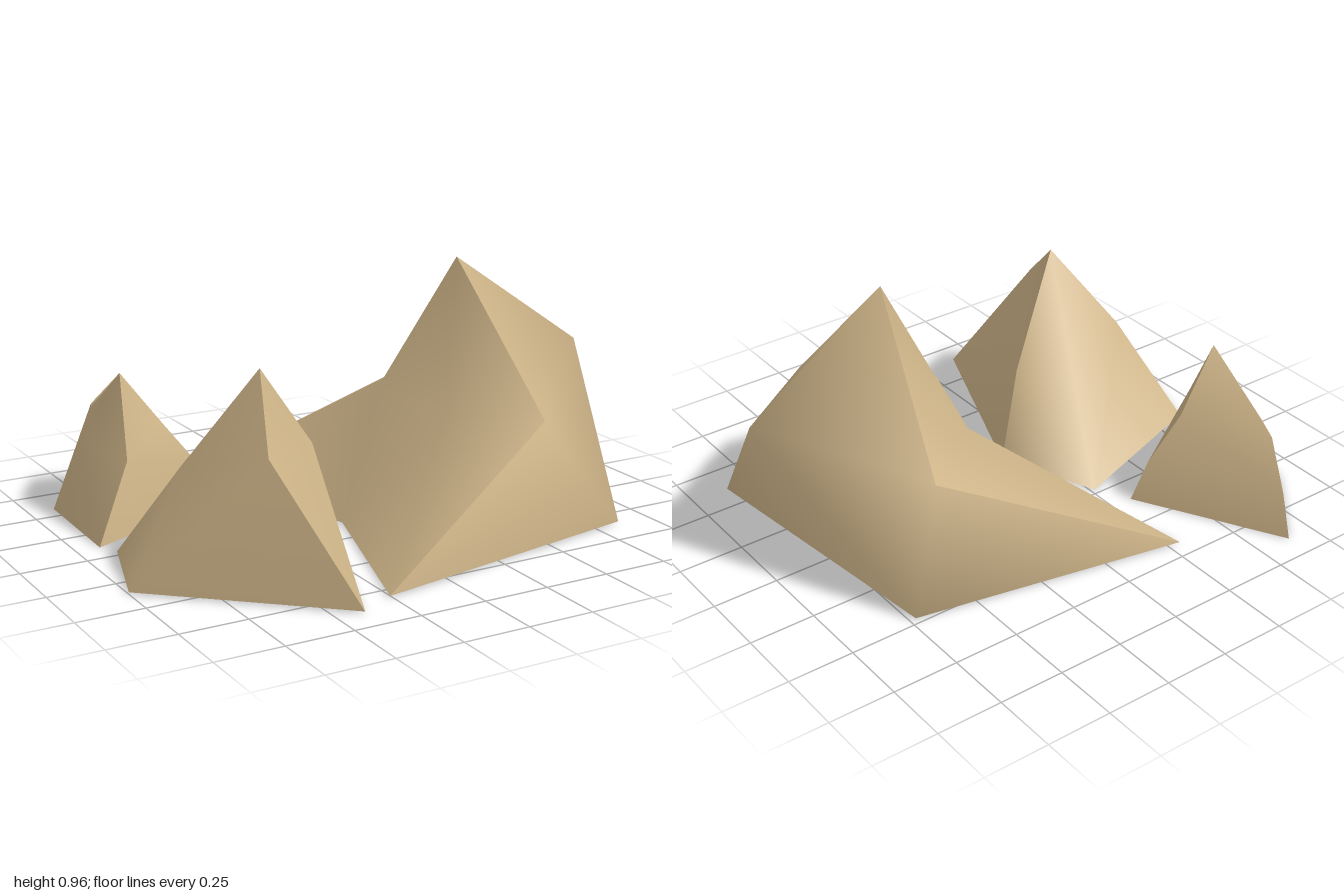
import * as THREE from 'three';

// The rocks are hollow shells, open underneath
const stone = new THREE.MeshStandardMaterial({ color: 0xceb488, side: THREE.DoubleSide });
stone.name = 'sandstone';

// A rock is a set of named corners plus facets. Each facet is a list of
// triangles shaded smoothly together; borders between facets stay sharp.
// Triangles are turned to face away from the rock's core.
function makeRock(name, core, corners, facets) {
  const group = new THREE.Group();
  group.name = name;
  const centre = new THREE.Vector3(...core);
  for (const [facetName, triangles] of Object.entries(facets)) {
    const keys = [...new Set(triangles.replace(/ /g, ''))];
    const points = keys.map((k) => new THREE.Vector3(...corners[k]));
    const index = [];
    for (const tri of triangles.split(' ')) {
      const [i, j, k] = [...tri].map((c) => keys.indexOf(c));
      const normal = new THREE.Triangle(points[i], points[j], points[k]).getNormal(new THREE.Vector3());
      const outward = normal.dot(points[i].clone().sub(centre)) > 0;
      index.push(i, ...(outward ? [j, k] : [k, j]));
    }
    const geometry = new THREE.BufferGeometry().setFromPoints(points);
    geometry.setIndex(index);
    geometry.computeVertexNormals();
    const mesh = new THREE.Mesh(geometry, stone);
    mesh.name = facetName;
    group.add(mesh);
  }
  return group;
}

export function createModel() {
  const model = new THREE.Group();
  model.name = 'rockGroup';

  // Large crescent rock: hollow side towards -x, overhanging shoulder at +x
  model.add(makeRock('largeRock', [0.55, 0.2, 0.11], {
    f: [-0.26, 0.007, 0.82], n: [-0.035, 0.007, 0.11], t: [-0.295, 0.007, -0.685], // tips and notch
    u: [0.26, 0.43, 0.35], v: [0.26, 0.43, -0.13],                                 // hollow
    r: [0.53, 0.435, 0.58], p: [0.45, 0.96, 0.11], q: [0.56, 0.43, -0.37],         // ridge
    s: [1.0, 0.585, 0.11],                                                         // shoulder
    b: [0.86, 0.007, 0.605], d: [0.73, 0.007, -0.48],                              // outer foot
  }, {
    hollowSide: 'fnu nuv nvt fur tvq uvp upr vpq',
    outerSide: 'fbr tdq brs dqs rps qps bds',
  }));

  // Medium rock with a pointed top
  model.add(makeRock('mediumRock', [-0.5, 0.22, 0.28], {
    a: [-1.0, 0.007, 0.36], b: [-0.88, 0.007, -0.02], d: [-0.26, 0.007, -0.235],
    e: [-0.1, 0.007, 0.14], f: [-0.4, 0.007, 0.895],                        // foot
    g: [-0.74, 0.37, 0.23], i: [-0.2, 0.36, 0.18], j: [-0.61, 0.485, 0.63], // shoulders
    h: [-0.5, 0.715, 0.36],                                                 // peak
  }, {
    backSide: 'bgd ghd hid ied',
    outerSide: 'abg agj ghj ajf',
    innerSide: 'hij ief ifj',
  }));

  // Small rock with a ridge falling away to the back
  model.add(makeRock('smallRock', [-0.66, 0.14, -0.46], {
    a: [-0.91, 0, -0.105], b: [-0.9, 0, -0.58], c: [-0.637, 0, -0.9], d: [-0.337, 0, -0.357], // foot
    k: [-0.75, 0.27, -0.21], p: [-0.7, 0.555, -0.375],                                        // front edge, peak
    m: [-0.52, 0.33, -0.41], n: [-0.39, 0.16, -0.385],                                        // side edge
    w: [-0.82, 0.28, -0.5],                                                                   // outer bulge
    x: [-0.71, 0.36, -0.64], y: [-0.67, 0.345, -0.74], z: [-0.65, 0.16, -0.84],               // back ridge
  }, {
    frontSide: 'akn and kmn kpm',
    outerSide: 'abw awk kwp pwx wyx wby byz bzc',
    innerSide: 'pyx pmy myz mnz ncz ndc',
  }));

  return model;
}
